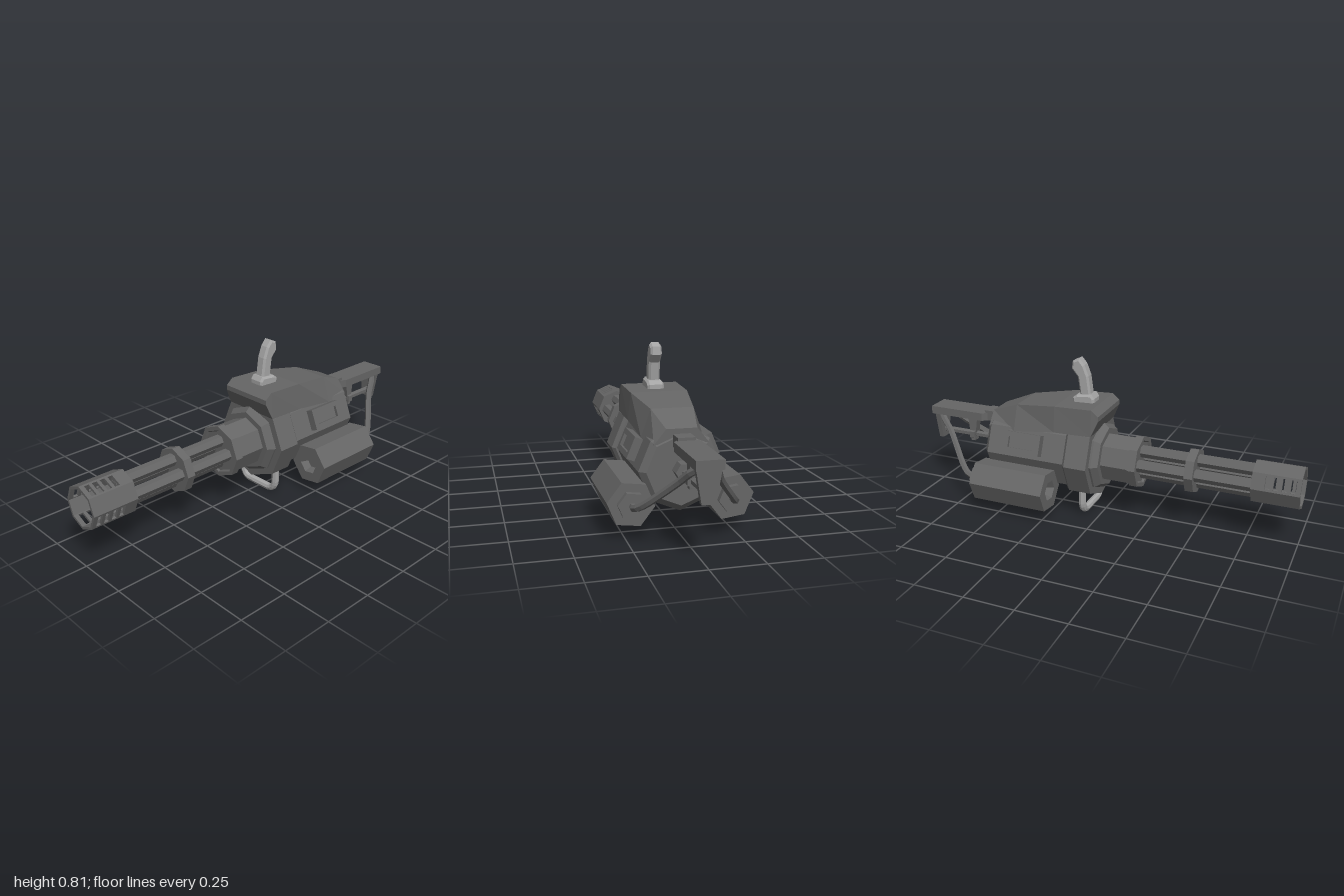
import * as THREE from 'three';

const AXIS = 0.3; // height of the barrel axis
const dark = new THREE.MeshStandardMaterial({ color: 0x666666, flatShading: true });
const light = new THREE.MeshStandardMaterial({ color: 0xa4a4a4, flatShading: true });

export function createModel() {
  const root = new THREE.Group();

  const add = (name, geo, mat = dark, parent = root) => {
    const mesh = new THREE.Mesh(geo, mat);
    mesh.name = name;
    parent.add(mesh);
    return mesh;
  };
  // Faceted solid along z from [radius, z] pairs, listed back to front
  const turned = (profile, sides, x = 0, y = AXIS, spin = 0) =>
    new THREE.LatheGeometry(profile.map(p => new THREE.Vector2(...p)), sides)
      .rotateX(Math.PI / 2).rotateZ(spin).translate(x, y, 0);
  const rod = (r, z0, z1, sides, x, y, spin) =>
    turned([[0, z0], [r, z0], [r, z1], [0, z1]], sides, x, y, spin);
  const box = (w, h, d, x, y, z) => new THREE.BoxGeometry(w, h, d).translate(x, y, z);
  const poly = pts => new THREE.Shape(pts.map(p => new THREE.Vector2(...p)));
  const rect = (cx, cy, w, h) => poly([
    [cx - w / 2, cy - h / 2], [cx + w / 2, cy - h / 2],
    [cx + w / 2, cy + h / 2], [cx - w / 2, cy + h / 2]]);
  const extrude = (shape, depth) => new THREE.ExtrudeGeometry(shape, { depth, bevelEnabled: false });
  // Side profile given as [z, y], extruded across x with a chamfer
  const sideCut = (pts, width, bevel) => new THREE.ExtrudeGeometry(poly(pts.map(([z, y]) => [-z, y])), {
    depth: width - 2 * bevel, bevelSize: bevel, bevelThickness: bevel, bevelOffset: -bevel,
    bevelSegments: 1, bevelEnabled: bevel > 0,
  }).translate(0, 0, bevel - width / 2).rotateY(Math.PI / 2);

  // Octagonal body, front flange and barrel collar
  add('body', turned([[0, -0.61], [0.16, -0.61], [0.19, -0.585], [0.19, -0.15], [0, -0.15]], 8));
  add('frontFlange', turned([[0, -0.155], [0.2, -0.155], [0.216, -0.14], [0.216, -0.022],
    [0.178, -0.022], [0.178, -0.012], [0.155, 0.018], [0, 0.018]], 8));
  add('barrelCollar', turned([[0, 0], [0.125, 0], [0.125, 0.165], [0.136, 0.165], [0.136, 0.205],
    [0.115, 0.205], [0.108, 0.195], [0, 0.195]], 8));

  // Hood lofted from trapezoid sections: z, bottom half width, bottom y, top half width, top y
  const sections = [
    [-0.605, 0.125, 0.42, 0.07, 0.488], [-0.45, 0.145, 0.42, 0.1, 0.548],
    [-0.22, 0.153, 0.45, 0.138, 0.582], [-0.02, 0.153, 0.455, 0.141, 0.59],
    [0.016, 0.143, 0.535, 0.141, 0.56]];
  const verts = sections.flatMap(([z, b, by, t, ty]) =>
    [-b, by, z, b, by, z, t, ty, z, -t, ty, z]);
  const faces = [0, 2, 1, 0, 3, 2];
  for (let s = 0; s < sections.length - 1; s++) {
    for (let k = 0; k < 4; k++) {
      const a = s * 4 + k, b = s * 4 + (k + 1) % 4;
      faces.push(a, b, b + 4, a, b + 4, a + 4);
    }
  }
  const e = (sections.length - 1) * 4;
  faces.push(e, e + 1, e + 2, e, e + 2, e + 3);
  const hood = new THREE.BufferGeometry();
  hood.setAttribute('position', new THREE.Float32BufferAttribute(verts, 3));
  hood.setIndex(faces);
  hood.computeVertexNormals();
  add('hood', hood);

  // Four hexagonal barrels held by a ring
  for (let i = 0; i < 4; i++) {
    const a = i * Math.PI / 2;
    add('barrel', rod(0.031, 0.19, 0.785, 6, 0.057 * Math.cos(a), AXIS + 0.057 * Math.sin(a), Math.PI / 6));
  }
  add('barrelRing', rod(0.113, 0.447, 0.49, 8));

  // Muzzle shroud: eight plates, every second one slotted
  const muzzle = new THREE.Group();
  muzzle.name = 'muzzle';
  muzzle.position.y = AXIS + 0.002;
  root.add(muzzle);
  const R = 0.107, plateWidth = 2 * R * Math.sin(Math.PI / 8);
  for (let i = 0; i < 8; i++) {
    const plate = rect(0, 0.885, plateWidth, 0.23);
    if (i % 2) {
      for (let k = 0; k < 4; k++) plate.holes.push(rect(0, 0.846 + k * 0.04, 0.062, 0.024));
    }
    add(i % 2 ? 'slottedMuzzlePlate' : 'muzzlePlate',
      extrude(plate, 0.012).rotateX(Math.PI / 2).translate(0, R * Math.cos(Math.PI / 8), 0)
        .rotateZ(Math.PI / 8 + i * Math.PI / 4 - Math.PI / 2), dark, muzzle);
  }
  add('muzzleBackPlate', rod(0.1, 0.772, 0.783, 8, 0, 0), dark, muzzle);

  // Side panels, tanks and hoses
  for (const s of [1, -1]) {
    const panel = new THREE.Group();
    panel.name = s > 0 ? 'leftPanel' : 'rightPanel';
    panel.position.set(0, AXIS, -0.38);
    panel.rotation.z = s > 0 ? Math.PI / 8 : Math.PI - Math.PI / 8;
    root.add(panel);
    const frame = rect(0, 0, 0.2, 0.106);
    frame.holes.push(rect(0, 0, 0.15, 0.056));
    add('panelFrame', extrude(frame, 0.045).rotateY(Math.PI / 2).translate(0.17, 0, 0), dark, panel);
    add('panelInset', box(0.03, 0.056, 0.15, 0.185, 0, 0), dark, panel);

    const x = s * 0.228, y = 0.164, spin = -s * Math.PI / 8;
    add('tank', turned([[0, -0.615], [0.109, -0.615], [0.109, -0.213], [0.053, -0.213],
      [0.035, -0.25], [0, -0.25]], 6, x, y, spin));
    add('tankCap', rod(0.065, -0.642, -0.61, 6, x, y, spin));
    const path = new THREE.CatmullRomCurve3([
      [0.228, 0.164, -0.63], [0.228, 0.167, -0.675], [0.205, 0.19, -0.72],
      [0.085, 0.335, -0.87], [0.055, 0.385, -0.925], [0.02, 0.415, -0.965],
    ].map(([px, py, pz]) => new THREE.Vector3(s * px, py, pz)));
    add('hose', new THREE.TubeGeometry(path, 14, 0.017, 6));
  }

  // Rear frame: hub, rod, top bar, hanging bracket and end plate
  add('rearHub', rod(0.044, -0.67, -0.6, 6, 0, 0.307, Math.PI / 6));
  add('rearRod', rod(0.017, -0.965, -0.66, 6, 0, 0.305));
  add('rodCollar', rod(0.034, -0.79, -0.76, 6, 0, 0.305));
  add('barMount', box(0.08, 0.055, 0.09, 0, 0.437, -0.635));
  add('rearBar', extrude(poly([[-0.06, 1], [-0.06, 0.69], [-0.04, 0.665], [0.04, 0.665],
    [0.06, 0.69], [0.06, 1]]), 0.042).rotateX(-Math.PI / 2).translate(0, 0.409, 0));
  root.getObjectByName('rearBar').geometry.scale(1, 1, 1);
  add('rearBracket', sideCut([[-0.742, 0.415], [-0.765, 0.27], [-0.787, 0.27], [-0.8, 0.415]].reverse(), 0.04, 0));
  add('rearEndPlate', extrude(poly([[-0.03, 0.265], [0.03, 0.265], [0.056, 0.42], [-0.056, 0.42]]), 0.025)
    .translate(0, 0, -0.984));

  // Top grip on its foot
  add('topGripFoot', sideCut([[-0.05, 0.575], [-0.05, 0.608], [-0.065, 0.63], [-0.143, 0.622],
    [-0.166, 0.605], [-0.166, 0.575]], 0.082, 0.01), light);
  add('topGrip', sideCut([[-0.07, 0.6], [-0.086, 0.72], [-0.107, 0.775], [-0.134, 0.807], [-0.17, 0.79],
    [-0.176, 0.75], [-0.143, 0.71], [-0.128, 0.6]], 0.056, 0.01), light);

  // Lower carrying loop
  const v = (x, y) => new THREE.Vector3(x, y, -0.082);
  const loop = new THREE.CurvePath();
  loop.add(new THREE.LineCurve3(v(-0.118, 0.18), v(-0.118, 0.075)));
  loop.add(new THREE.QuadraticBezierCurve3(v(-0.118, 0.075), v(-0.115, 0.019), v(-0.062, 0.019)));
  loop.add(new THREE.LineCurve3(v(-0.062, 0.019), v(0.062, 0.019)));
  loop.add(new THREE.QuadraticBezierCurve3(v(0.062, 0.019), v(0.115, 0.019), v(0.118, 0.075)));
  loop.add(new THREE.LineCurve3(v(0.118, 0.075), v(0.118, 0.18)));
  add('lowerHandle', new THREE.TubeGeometry(loop, 28, 0.019, 8), light);

  return root;
}
